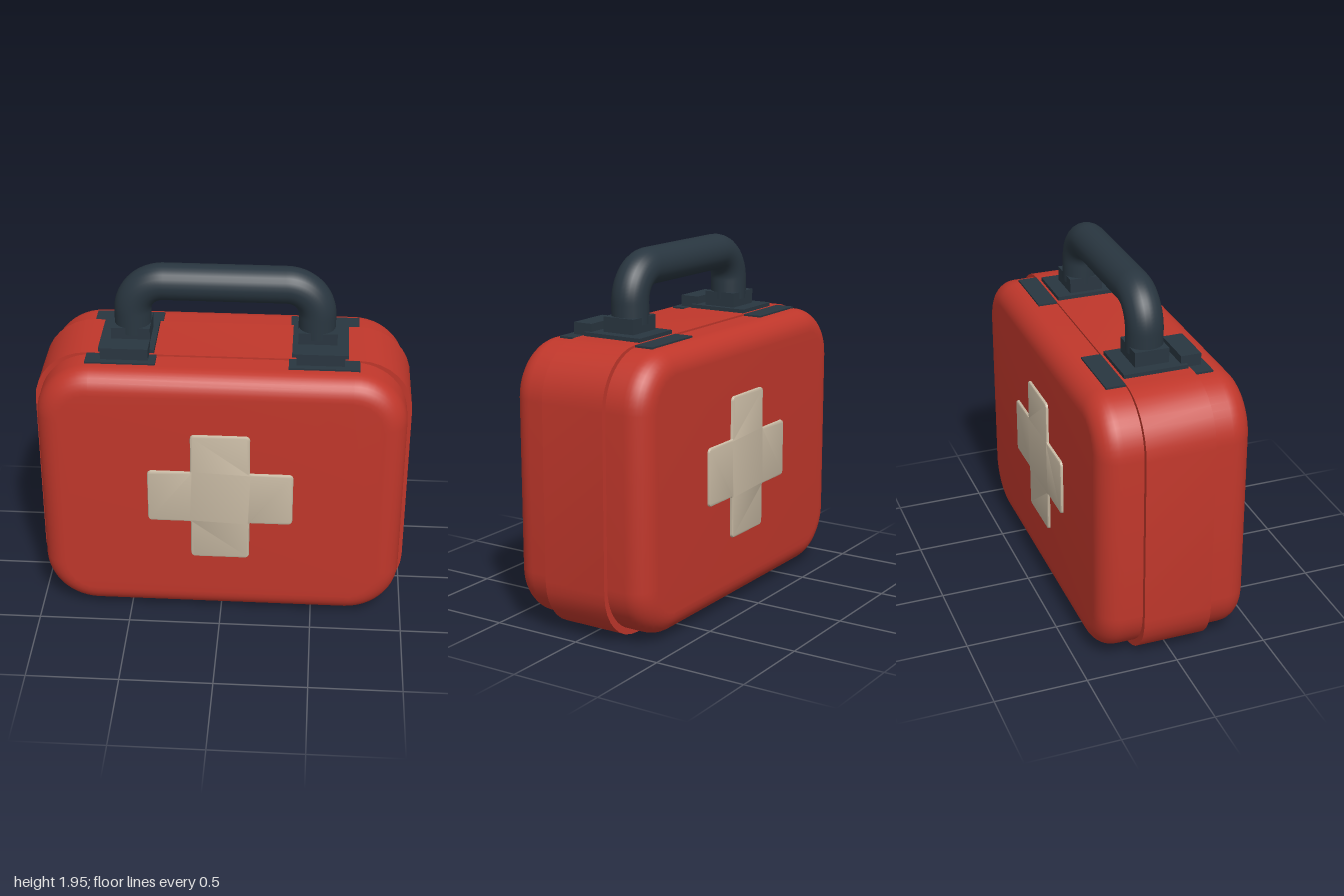
import * as THREE from 'three';
import { toCreasedNormals } from 'three/addons/utils/BufferGeometryUtils.js';

const red = new THREE.MeshStandardMaterial({ color: 0xc0372b });
red.name = 'case red';
const dark = new THREE.MeshStandardMaterial({ color: 0x293640 });
dark.name = 'dark slate';
const cream = new THREE.MeshStandardMaterial({ color: 0xc7b9a3 });
cream.name = 'warm cream';

function add(parent, name, geometry, material, x = 0, y = 0, z = 0) {
  const mesh = new THREE.Mesh(geometry, material);
  mesh.name = name;
  mesh.position.set(x, y, z);
  parent.add(mesh);
  return mesh;
}

// Closed outline with every corner rounded by radius r
function roundedShape(points, r) {
  const shape = new THREE.Shape();
  const n = points.length;
  points.forEach((p, i) => {
    const a = points[(i + n - 1) % n], b = points[(i + 1) % n];
    const start = p.clone().add(a.clone().sub(p).setLength(r));
    const end = p.clone().add(b.clone().sub(p).setLength(r));
    if (i) shape.lineTo(start.x, start.y);
    else shape.moveTo(start.x, start.y);
    // cubic handles approximating a quarter circle
    const c1 = start.clone().lerp(p, 0.5523), c2 = end.clone().lerp(p, 0.5523);
    shape.bezierCurveTo(c1.x, c1.y, c2.x, c2.y, end.x, end.y);
  });
  shape.closePath();
  return shape;
}

const rectangle = (w, h) => [[-w, -h], [w, -h], [w, h], [-w, h]].map(p => new THREE.Vector2(...p));

// Extrusion centred on z = 0 whose total thickness includes the bevel
function slab(points, r, thickness, bevel, segments, curveSegments) {
  const geometry = new THREE.ExtrudeGeometry(roundedShape(points, r), {
    depth: thickness - 2 * bevel, bevelEnabled: bevel > 0, bevelThickness: bevel,
    bevelSize: bevel, bevelSegments: segments, curveSegments,
  });
  geometry.translate(0, 0, bevel - thickness / 2);
  return toCreasedNormals(geometry, 0.6);
}

export function createModel() {
  const model = new THREE.Group();
  model.name = 'firstAidCase';

  // Soft-edged case and the raised band around its middle
  add(model, 'caseShell', slab(rectangle(0.853, 0.622), 0.17, 0.82, 0.12, 8, 12), red, 0, 0.768, 0);
  add(model, 'middleBand', slab(rectangle(1, 0.76), 0.29, 0.37, 0, 1, 8), red, 0, 0.76, 0);

  // Raised cross on the front and back
  const o = 0.378, i = 0.148;
  const cross = [[-i, -o], [i, -o], [i, -i], [o, -i], [o, i], [i, i],
    [i, o], [-i, o], [-i, i], [-o, i], [-o, -i], [-i, -i]].map(p => new THREE.Vector2(...p));
  const crossGeometry = slab(cross, 0.014, 0.05, 0.01, 2, 4);
  add(model, 'frontCross', crossGeometry, cream, 0, 0.787, 0.398);
  add(model, 'backCross', crossGeometry, cream, 0, 0.787, -0.4);

  // Handle: two uprights, two bends and a bar
  const v = (x, y) => new THREE.Vector3(x, y, 0);
  const X = 0.486, Y = 1.855, R = 0.165, k = R * 0.4477;
  const path = new THREE.CurvePath();
  path.add(new THREE.LineCurve3(v(-X, 1.58), v(-X, Y - R)));
  path.add(new THREE.CubicBezierCurve3(v(-X, Y - R), v(-X, Y - k), v(-X + k, Y), v(-X + R, Y)));
  path.add(new THREE.LineCurve3(v(-X + R, Y), v(X - R, Y)));
  path.add(new THREE.CubicBezierCurve3(v(X - R, Y), v(X - k, Y), v(X, Y - k), v(X, Y - R)));
  path.add(new THREE.LineCurve3(v(X, Y - R), v(X, 1.58)));
  add(model, 'handle', new THREE.TubeGeometry(path, 96, 0.098, 24), dark);

  // Handle mounts, latches and hinge plates on each side
  for (const s of [-1, 1]) {
    const mount = new THREE.Group();
    mount.name = s > 0 ? 'leftMount' : 'rightMount';
    const box = (name, w, h, d, x, y, z) =>
      add(mount, name, new THREE.BoxGeometry(w, h, d), dark, s * x, y, z);
    box('basePlate', 0.295, 0.035, 0.345, 0.508, 1.523, 0);
    box('handleFoot', 0.205, 0.09, 0.185, 0.492, 1.575, 0);
    box('latch', 0.25, 0.065, 0.11, 0.51, 1.55, 0.195);
    box('frontPlate', 0.368, 0.03, 0.1, 0.53, 1.504, 0.233);
    box('backPlate', 0.368, 0.03, 0.11, 0.53, 1.504, -0.235);
    model.add(mount);
  }
  return model;
}
